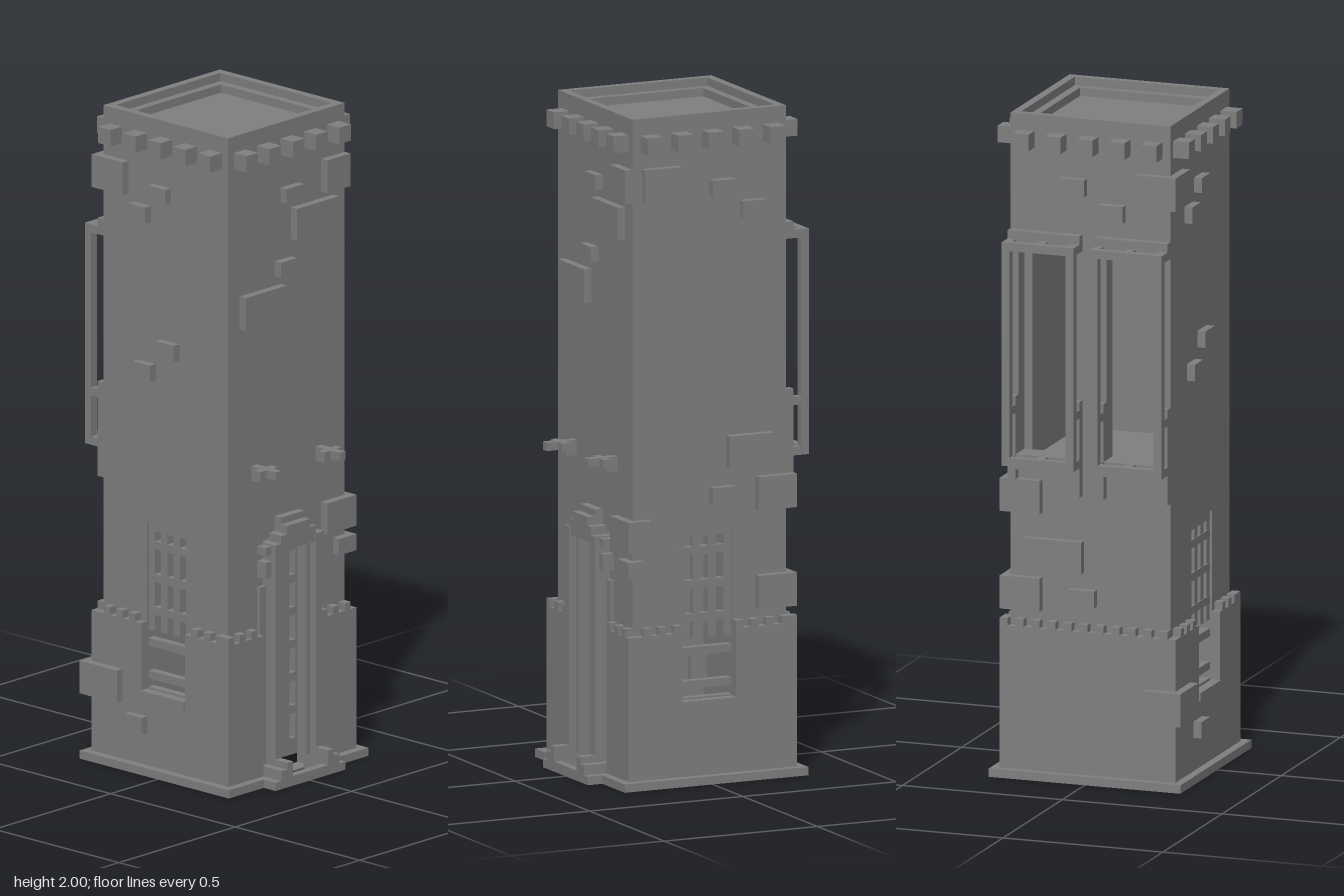
import * as THREE from 'three';

export function createModel() {
  const stone = new THREE.MeshStandardMaterial({ color: 0x808080 });
  stone.name = 'grey stone';
  const model = new THREE.Group();
  model.name = 'stoneTower';
  const tower = new THREE.Group();
  tower.name = 'tower';
  tower.position.z = -0.0125;
  model.add(tower);

  // Each side: u runs to the right as seen from outside, d is distance outward
  const side = (name, turn) => {
    const g = new THREE.Group();
    g.name = name;
    g.rotation.y = turn;
    tower.add(g);
    return g;
  };
  const front = side('frontSide', 0);
  const left = side('leftSide', Math.PI / 2);
  const back = side('backSide', Math.PI);
  const right = side('rightSide', -Math.PI / 2);
  const sides = [front, left, back, right];

  const box = (g, name, u0, u1, y0, y1, d0, d1) => {
    const m = new THREE.Mesh(new THREE.BoxGeometry(u1 - u0, y1 - y0, d1 - d0), stone);
    m.name = name;
    m.position.set((u0 + u1) / 2, (y0 + y1) / 2, (d0 + d1) / 2);
    g.add(m);
  };
  const rect = (T, [u0, u1, y0, y1]) => {
    const s = new T();
    s.moveTo(u0, y0);
    s.lineTo(u1, y0);
    s.lineTo(u1, y1);
    s.lineTo(u0, y1);
    s.closePath();
    return s;
  };
  const panel = (g, name, outline, holes, d0, d1) => {
    const s = rect(THREE.Shape, outline);
    s.holes = holes.map(h => rect(THREE.Path, h));
    const m = new THREE.Mesh(new THREE.ExtrudeGeometry(s, { depth: d1 - d0, bevelEnabled: false }), stone);
    m.name = name;
    m.position.z = d0;
    g.add(m);
  };

  // Shaft walls with openings
  const winL = [-0.1, 0.075, 0.23, 0.76], winR = [-0.075, 0.1, 0.23, 0.76];
  panel(front, 'frontWall', [-0.25, 0.25, 0, 1.95], [[-0.1, 0.1, 0.005, 0.74]], 0.2, 0.25);
  panel(back, 'backWall', [-0.25, 0.25, 0, 1.95],
    [[-0.225, -0.05, 0.975, 1.6], [0.05, 0.225, 0.975, 1.6]], 0.2, 0.25);
  panel(left, 'leftWall', [-0.2, 0.2, 0, 1.95], [winL], 0.2, 0.25);
  panel(right, 'rightWall', [-0.2, 0.2, 0, 1.95], [winR], 0.2, 0.25);

  // Roof, stepped rim and inner floor
  box(tower, 'roof', -0.2, 0.2, 1.9, 1.95, -0.2, 0.2);
  box(tower, 'upperFloor', -0.2, 0.2, 0.9, 0.95, -0.2, 0.2);
  sides.forEach((g, i) => {
    const e = i % 2 ? 0 : 1;
    box(g, 'rim', e ? -0.25 : -0.225, e ? 0.25 : 0.225, 1.95, 2, 0.225, 0.25);
    box(g, 'rimStep', e ? -0.225 : -0.2, e ? 0.225 : 0.2, 1.95, 1.975, 0.2, 0.225);
    for (let k = -2; k <= 2; k++)
      box(g, 'corbel', k * 0.1 - 0.025, k * 0.1 + 0.025, 1.9, 1.95, 0.25, 0.3);
  });

  // Thick base with toothed top edge and footing
  const baseRun = (g, u0, u1, y0) => {
    box(g, 'base', u0, u1, y0, 0.455, 0.25, 0.275);
    for (let u = -0.275; u < 0.27; u += 0.05) {
      const a = Math.max(u, u0), b = Math.min(u + 0.025, u1);
      if (b - a > 0.004) box(g, 'baseTooth', a, b, 0.455, 0.478, 0.25, 0.275);
    }
  };
  baseRun(front, -0.275, -0.125, 0);
  baseRun(front, 0.125, 0.275, 0);
  baseRun(back, -0.275, 0.275, 0);
  [[left, winL], [right, winR]].forEach(([g, w]) => {
    box(g, 'baseUnderWindow', -0.25, 0.25, 0, 0.23, 0.25, 0.275);
    baseRun(g, -0.25, w[0], 0.23);
    baseRun(g, w[1], 0.25, 0.23);
    box(g, 'footing', -0.275, 0.275, 0, 0.025, 0.275, 0.3);
    // Barred window
    for (const y of [0.23, 0.28, 0.38, 0.48, 0.58, 0.68, 0.735])
      box(g, 'windowBar', w[0], w[1], y, y + 0.024, 0.22, 0.245);
    for (let k = 0; k < 4; k++)
      box(g, 'windowUpright', w[0] + k * 0.05, w[0] + k * 0.05 + 0.025, 0.43, 0.76, 0.222, 0.243);
    box(g, 'windowSill', w[0], w[1], 0.225, 0.25, 0.25, 0.28);
  });
  box(back, 'footing', -0.3, 0.3, 0, 0.025, 0.275, 0.3);
  for (const s of [-1, 1]) {
    const mirror = (name, a, b, ...r) => box(front, name, Math.min(s * a, s * b), Math.max(s * a, s * b), ...r);
    mirror('footing', 0.125, 0.3, 0, 0.025, 0.275, 0.3);
    // Door frame, quoins and foot blocks
    mirror('doorPost', 0.075, 0.1, 0.05, 0.73, 0.24, 0.3);
    mirror('doorInnerPost', 0.06, 0.075, 0.05, 0.75, 0.22, 0.275);
    mirror('doorQuoin', 0.1, 0.125, 0.7, 0.725, 0.25, 0.285);
    mirror('doorQuoin', 0.1, 0.125, 0.63, 0.68, 0.25, 0.285);
    mirror('doorSideStrip', 0.1, 0.125, 0, 0.6, 0.25, 0.262);
    mirror('doorFoot', 0.075, 0.125, 0, 0.055, 0.25, 0.3475);
    mirror('doorFootCap', 0.075, 0.1, 0.055, 0.075, 0.25, 0.3475);
    mirror('doorFootWing', 0.125, 0.15, 0, 0.025, 0.3, 0.3475);
    // Wall brackets
    mirror('bracketArm', 0.125, 0.15, 0.95, 0.975, 0.25, 0.3475);
    mirror('bracketCross', 0.1, 0.175, 0.951, 0.974, 0.285, 0.31);
    mirror('bracketFoot', 0.125, 0.15, 0.93, 0.95, 0.25, 0.285);
  }
  box(front, 'doorStep', -0.075, 0.075, 0, 0.03, 0.3225, 0.3475);
  box(front, 'doorLintel', -0.1, 0.1, 0.705, 0.73, 0.24, 0.295);
  box(front, 'doorLintel', -0.075, 0.075, 0.73, 0.755, 0.24, 0.3);
  box(front, 'doorLintel', -0.05, 0.05, 0.755, 0.78, 0.24, 0.3);
  box(front, 'doorKeystone', -0.05, 0.05, 0.78, 0.8, 0.25, 0.275);
  const slots = [];
  for (let r = 0; r < 6; r++) for (const u of [-0.05, 0.025])
    slots.push([u, u + 0.025, 0.1 + r * 0.1, 0.175 + r * 0.1]);
  panel(front, 'door', [-0.1, 0.1, 0.05, 0.735], slots, 0.215, 0.24);

  // Two framed bays at the back
  for (const s of [-1, 1]) {
    const bar = (name, a, b, ...r) => box(back, name, Math.min(s * a, s * b), Math.max(s * a, s * b), ...r);
    const [a, b] = s > 0 ? [0.025, 0.25] : [-0.25, -0.025];
    panel(back, 'bayFrame', [a, b, 0.95, 1.625], [[a + 0.025, b - 0.025, 0.975, 1.6]], 0.3, 0.325);
    for (const y of [0.95, 1.6]) for (const u of [0.025, 0.125, 0.225])
      bar('bayTie', u, u + 0.025, y, y + 0.025, 0.25, 0.3);
    bar('bayLedge', 0.025, 0.25, 1.6, 1.65, 0.25, 0.275);
    bar('baySill', 0.025, 0.25, 0.93, 0.975, 0.25, 0.275);
    for (const u of [0.025, 0.225]) {
      bar('bayPost', u, u + 0.025, 0.95, 1.15, 0.25, 0.275);
      bar('bayStrut', u, u + 0.025, 1.1, 1.125, 0.275, 0.3);
      bar('bayBracket', u, u + 0.025, 0.86, 0.93, 0.25, 0.275);
    }
  }

  // Projecting stones: u0, u1, y0, y1, then optional inner and outer depth
  const stones = (g, list) => list.forEach(([a, b, c, d, i = 0.245, o = 0.275]) =>
    box(g, 'projectingStone', a, b, c, d, i, o));
  stones(front, [
    [0.15, 0.25, 1.75, 1.85], [-0.025, 0.05, 1.755, 1.8], [0.02, 0.2, 1.632, 1.73],
    [-0.05, 0.02, 1.535, 1.58], [-0.2, -0.025, 1.405, 1.505],
    [0.15, 0.275, 0.705, 0.8, 0.2], [0.2, 0.275, 0.63, 0.68, 0.225],
  ]);
  stones(left, [
    [-0.22, -0.1, 1.75, 1.85], [0, 0.075, 1.755, 1.8], [0.1, 0.175, 1.68, 1.73],
    [0.055, 0.2, 0.93, 1.03], [0, 0.075, 0.83, 0.88],
    [0.15, 0.275, 0.8, 0.9, 0.15], [0.15, 0.275, 0.505, 0.605, 0.15],
  ]);
  stones(back, [
    [-0.09, -0.01, 1.77, 1.82], [0.03, 0.11, 1.7, 1.75],
    [-0.2, -0.02, 0.63, 0.725], [-0.06, 0.02, 0.53, 0.58],
  ]);
  stones(right, [
    [-0.275, -0.15, 1.75, 1.85, 0.15], [-0.05, 0.02, 1.755, 1.8], [-0.13, -0.06, 1.68, 1.73],
    [-0.02, 0.055, 1.28, 1.33], [-0.11, -0.04, 1.2, 1.25],
    [-0.3, -0.15, 0.2, 0.3, 0.18, 0.3], [-0.12, -0.05, 0.125, 0.175, 0.27, 0.3],
  ]);
  return model;
}
